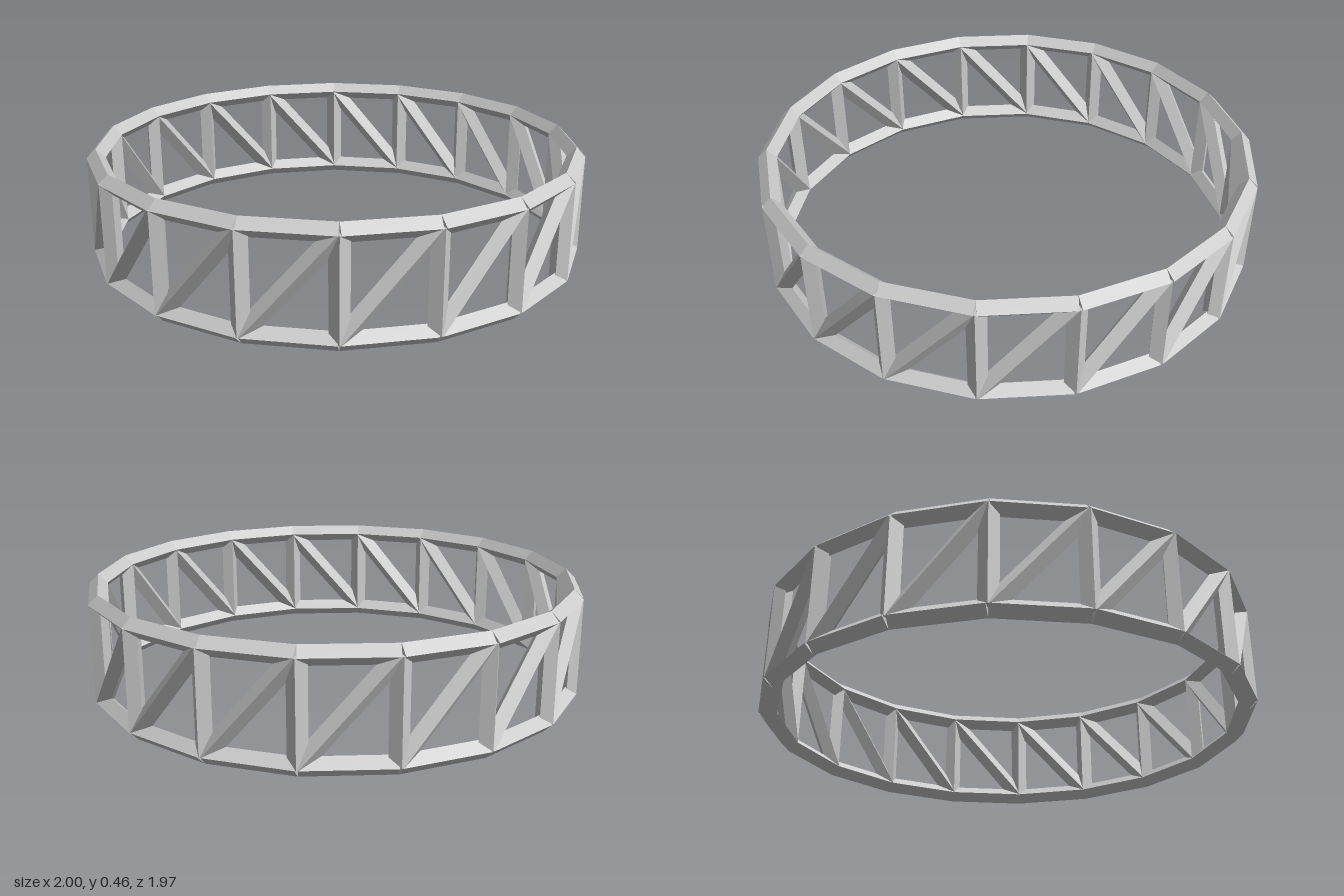
import * as THREE from 'three';

const SIDES = 18;
const RADIUS = 0.964;        // node circle
const HALF = 0.0365;         // half diagonal of the square bars
const LOW = HALF, HIGH = 0.425;

export function createModel() {
  const model = new THREE.Group();
  model.name = 'ringTruss';
  const material = new THREE.MeshStandardMaterial({ color: 0xcccccc, flatShading: true });
  const side = HALF * Math.SQRT2;

  const node = (i, y) => {
    const a = (i / SIDES) * Math.PI * 2;
    return new THREE.Vector3(RADIUS * Math.cos(a), y, RADIUS * Math.sin(a));
  };

  // Square bar between two nodes, turned so one edge points outwards
  function bar(name, a, b, parent) {
    const along = b.clone().sub(a);
    const length = along.length();
    along.normalize();
    const mid = a.clone().add(b).multiplyScalar(0.5);
    const out = new THREE.Vector3(mid.x, 0, mid.z).normalize();
    const across = along.clone().cross(out);
    const x = out.clone().add(across).normalize();
    const y = across.clone().sub(out).normalize();
    const mesh = new THREE.Mesh(new THREE.BoxGeometry(side, side, length), material);
    mesh.name = name;
    mesh.quaternion.setFromRotationMatrix(new THREE.Matrix4().makeBasis(x, y, along));
    mesh.position.copy(mid);
    parent.add(mesh);
  }

  const groups = {};
  for (const name of ['lowerRing', 'upperRing', 'posts', 'diagonals']) {
    groups[name] = new THREE.Group();
    groups[name].name = name;
    model.add(groups[name]);
  }

  for (let i = 0; i < SIDES; i++) {
    bar('lowerChord', node(i, LOW), node(i + 1, LOW), groups.lowerRing);
    bar('upperChord', node(i, HIGH), node(i + 1, HIGH), groups.upperRing);
    bar('post', node(i, LOW), node(i, HIGH), groups.posts);
    bar('diagonal', node(i + 1, LOW), node(i, HIGH), groups.diagonals);
  }
  return model;
}
